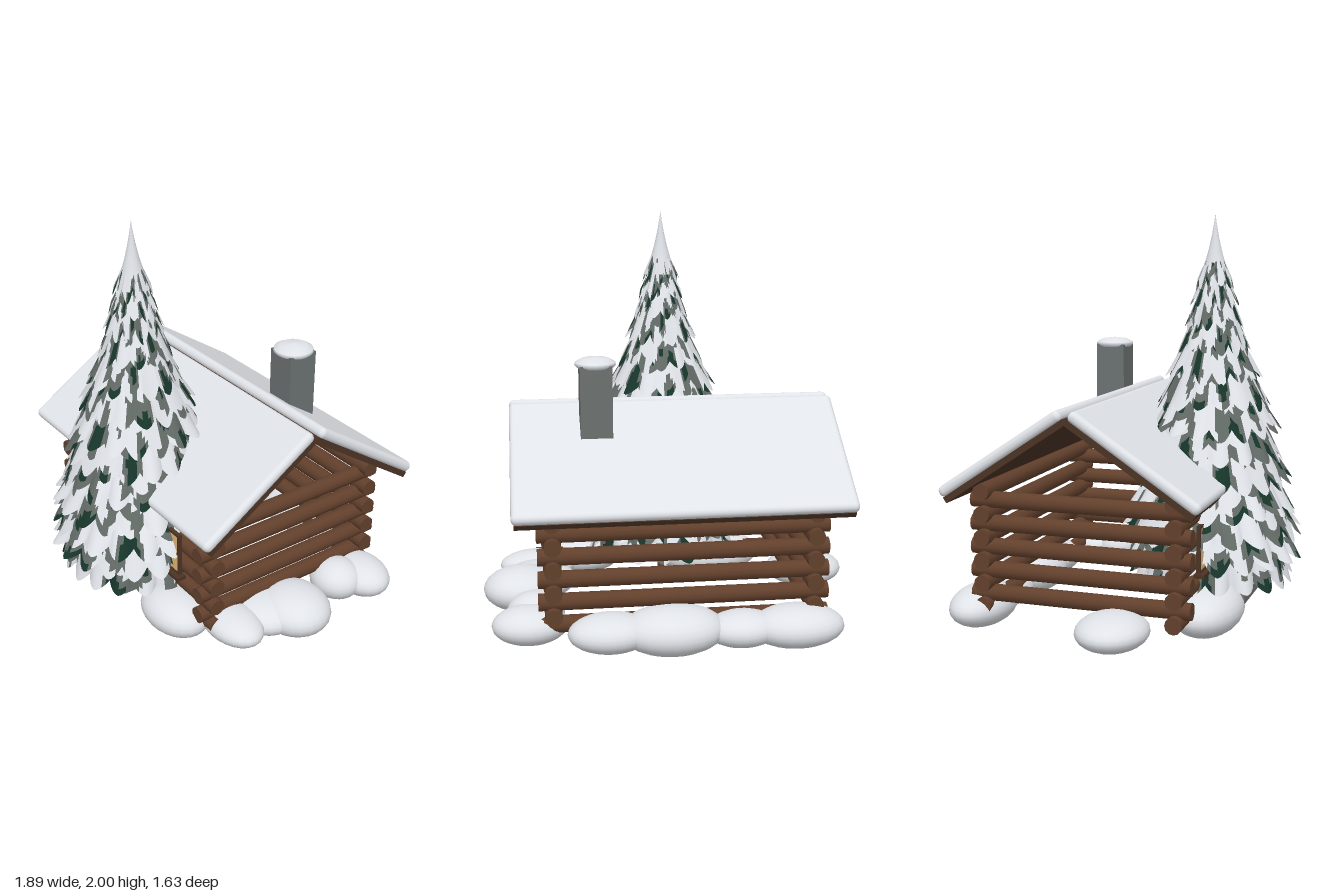
import * as THREE from 'three';
import { RoundedBoxGeometry } from 'three/addons/geometries/RoundedBoxGeometry.js';

const mat = (name, color, side = THREE.FrontSide) => {
  const m = new THREE.MeshStandardMaterial({ color, side });
  m.name = name;
  return m;
};

export function createModel() {
  const model = new THREE.Group();
  model.name = 'snowyCabinAndTree';
  const snow = mat('snow', 0xe6e9ee, THREE.DoubleSide);
  const logWood = mat('logWood', 0x62402c);
  const plankWood = mat('plankWood', 0x4c3325);
  const stone = mat('stone', 0x6c7271);
  const glow = mat('windowGlow', 0xe9bd78);
  const frost = mat('frostedNeedles', 0x626a66, THREE.DoubleSide);
  const needles = mat('darkNeedles', 0x17352a, THREE.DoubleSide);

  const add = (name, geometry, material, x = 0, y = 0, z = 0, parent = model) => {
    const mesh = new THREE.Mesh(geometry, material);
    mesh.name = name;
    mesh.position.set(x, y, z);
    parent.add(mesh);
    return mesh;
  };
  const group = (name) => {
    const g = new THREE.Group();
    g.name = name;
    model.add(g);
    return g;
  };
  const box = (w, h, d) => new THREE.BoxGeometry(w, h, d);

  // Log walls: rows along x and rows along z interlock at the corners
  const walls = group('logWalls');
  const longLog = new THREE.CylinderGeometry(0.041, 0.041, 1.37, 12).rotateZ(Math.PI / 2);
  const sideLog = new THREE.CylinderGeometry(0.041, 0.041, 1.08, 12).rotateX(Math.PI / 2);
  for (let i = 0; i < 6; i++)
    for (const z of [0.35, -0.59]) add('longLog', longLog, logWood, -0.015, 0.157 + i * 0.11, z, walls);
  for (let i = 0; i < 5; i++)
    for (const x of [-0.63, 0.6]) add('sideLog', sideLog, logWood, x, 0.21 + i * 0.113, -0.12, walls);

  // Windows with frame, cross bars and sill
  for (const x of [-0.34, 0.31]) {
    const win = group('window');
    win.position.set(x, 0.45, 0.4);
    add('pane', box(0.23, 0.21, 0.008), glow, 0, 0, 0, win);
    for (const s of [-1, 1]) {
      add('frameSide', box(0.012, 0.23, 0.02), plankWood, s * 0.116, 0, 0, win);
      add('frameRail', box(0.24, 0.012, 0.02), plankWood, 0, s * 0.108, 0, win);
    }
    add('mullion', box(0.01, 0.21, 0.016), plankWood, 0, 0, 0, win);
    add('crossBar', box(0.23, 0.01, 0.016), plankWood, 0, 0, 0, win);
    add('sill', box(0.29, 0.018, 0.05), plankWood, 0, -0.118, 0.01, win);
  }

  // Door and stone step
  add('door', box(0.24, 0.42, 0.02), plankWood, -0.015, 0.385, 0.395);
  add('doorStep', box(0.37, 0.045, 0.17), stone, -0.015, 0.153, 0.475);

  // Roof: two plank slabs, each with a rounded snow blanket, mirrored about the ridge
  const pitch = Math.atan2(0.39, 0.59);
  for (const s of [1, -1]) {
    const half = group(s > 0 ? 'frontRoof' : 'backRoof');
    half.position.set(-0.01, 0.875, -0.13 + s * 0.3);
    half.rotation.x = s * pitch;
    add('roofPlanks', box(1.56, 0.03, 0.715), plankWood, 0, 0, 0, half);
    add('roofSnow', new RoundedBoxGeometry(1.585, 0.055, 0.725, 3, 0.026), snow, 0, 0.039, s * 0.002, half);
  }

  // Chimney with a snow cap
  add('chimney', box(0.152, 0.49, 0.152), stone, 0.373, 1.085, -0.305);
  const cap = new THREE.LatheGeometry(
    [[0, -0.02], [0.085, -0.02], [0.098, -0.008], [0.095, 0.006], [0.065, 0.022], [0, 0.03]]
      .map(([r, y]) => new THREE.Vector2(r, y)), 20);
  add('chimneySnow', cap, snow, 0.373, 1.335, -0.305);

  // Snow drifts around the walls: centre, then radii
  const drifts = group('snowDrifts');
  const ball = new THREE.SphereGeometry(1, 24, 14);
  [
    [-0.75, 0.125, 0.08, 0.2, 0.085, 0.17], [-0.28, 0.12, 0.4, 0.28, 0.12, 0.17],
    [0.41, 0.13, 0.42, 0.21, 0.1, 0.15], [0.66, 0.14, 0.26, 0.2, 0.075, 0.13],
    [0.66, 0.13, 0.06, 0.19, 0.09, 0.17], [0.74, 0.135, -0.06, 0.2, 0.11, 0.18],
    [0.68, 0.14, -0.39, 0.14, 0.1, 0.13], [0.71, 0.13, -0.52, 0.18, 0.09, 0.14],
    [0.34, 0.13, -0.66, 0.2, 0.09, 0.14], [0.05, 0.13, -0.66, 0.25, 0.115, 0.17],
    [-0.28, 0.12, -0.66, 0.18, 0.085, 0.13], [-0.54, 0.12, -0.66, 0.23, 0.1, 0.15],
  ].forEach(([x, y, z, a, b, c]) => add('snowDrift', ball, snow, x, y, z, drifts).scale.set(a, b, c));

  // Tree: overlapping skirts of pointed scales with patches of snow and frost
  const tree = group('firTree');
  tree.position.set(-0.015, 0, 0.35);
  add('trunk', new THREE.CylinderGeometry(0.014, 0.018, 1.1, 10), logWood, 0, 0.6, 0, tree);

  const tierY = [0.21, 0.325, 0.44, 0.56, 0.69, 0.815, 0.94, 1.07, 1.2, 1.33, 1.45, 1.55, 1.64, 1.74, 1.82];
  const tierR = [0.42, 0.45, 0.46, 0.43, 0.4, 0.365, 0.335, 0.295, 0.24, 0.19, 0.148, 0.122, 0.098, 0.05, 0.036];
  const patch = (a, y) =>
    Math.sin(a * 5 + y * 31) + Math.sin(a * 9 - y * 47 + 1.7) + 0.8 * Math.sin(a * 16 + y * 19 + 4);

  const skirt = (i) => {
    const scales = Math.round(9 + tierR[i] * 24), per = 8, rows = 7, cols = scales * per;
    const yTop = tierY[i + 2], rTop = tierR[i + 2] * 0.72;
    const pos = [], faces = [[], [], []];
    for (let r = 0; r <= rows; r++) {
      const t = r / rows;
      for (let c = 0; c <= cols; c++) {
        const f = (c % per) / per, k = Math.floor((c % cols) / per);
        const tooth = 1 - Math.pow(Math.abs(2 * f - 1), 1.6);
        const vary = Math.sin(k * 7.3 + i * 2.9);
        const a = ((c + (i % 2) * per * 0.5) / cols) * Math.PI * 2;
        const rBot = tierR[i] * (0.86 + 0.11 * tooth + 0.035 * vary * tooth);
        const yBot = tierY[i] + 0.05 * (1 - tooth) + 0.014 * vary * tooth;
        const rad = THREE.MathUtils.lerp(rTop, rBot, t);
        pos.push(Math.cos(a) * rad, THREE.MathUtils.lerp(yTop, yBot, t), Math.sin(a) * rad);
        if (r === rows || c === cols) continue;
        const up = r * (cols + 1) + c, low = up + cols + 1;
        const n = patch(a, tierY[i] + (1 - t) * 0.1);
        const which = n > -0.2 ? 0 : n < -1.55 || (t > 0.8 && n < -1) ? 2 : 1;
        faces[which].push(low, up, low + 1, up, up + 1, low + 1);
      }
    }
    const g = new THREE.BufferGeometry();
    g.setAttribute('position', new THREE.Float32BufferAttribute(pos, 3));
    g.setIndex(faces.flat());
    let start = 0;
    faces.forEach((list, m) => {
      g.addGroup(start, list.length, m);
      start += list.length;
    });
    g.computeVertexNormals();
    return g;
  };
  for (let i = 0; i < 13; i++) add('branchTier', skirt(i), [snow, frost, needles], 0, 0, 0, tree);

  // Slender snowy tip
  const tip = [[0.078, 1.68], [0.055, 1.75], [0.034, 1.82], [0.018, 1.89], [0.007, 1.95], [0, 2]];
  add('treeTip', new THREE.LatheGeometry(tip.map(([r, y]) => new THREE.Vector2(r, y)), 14), snow, 0, 0, 0, tree);

  return model;
}
